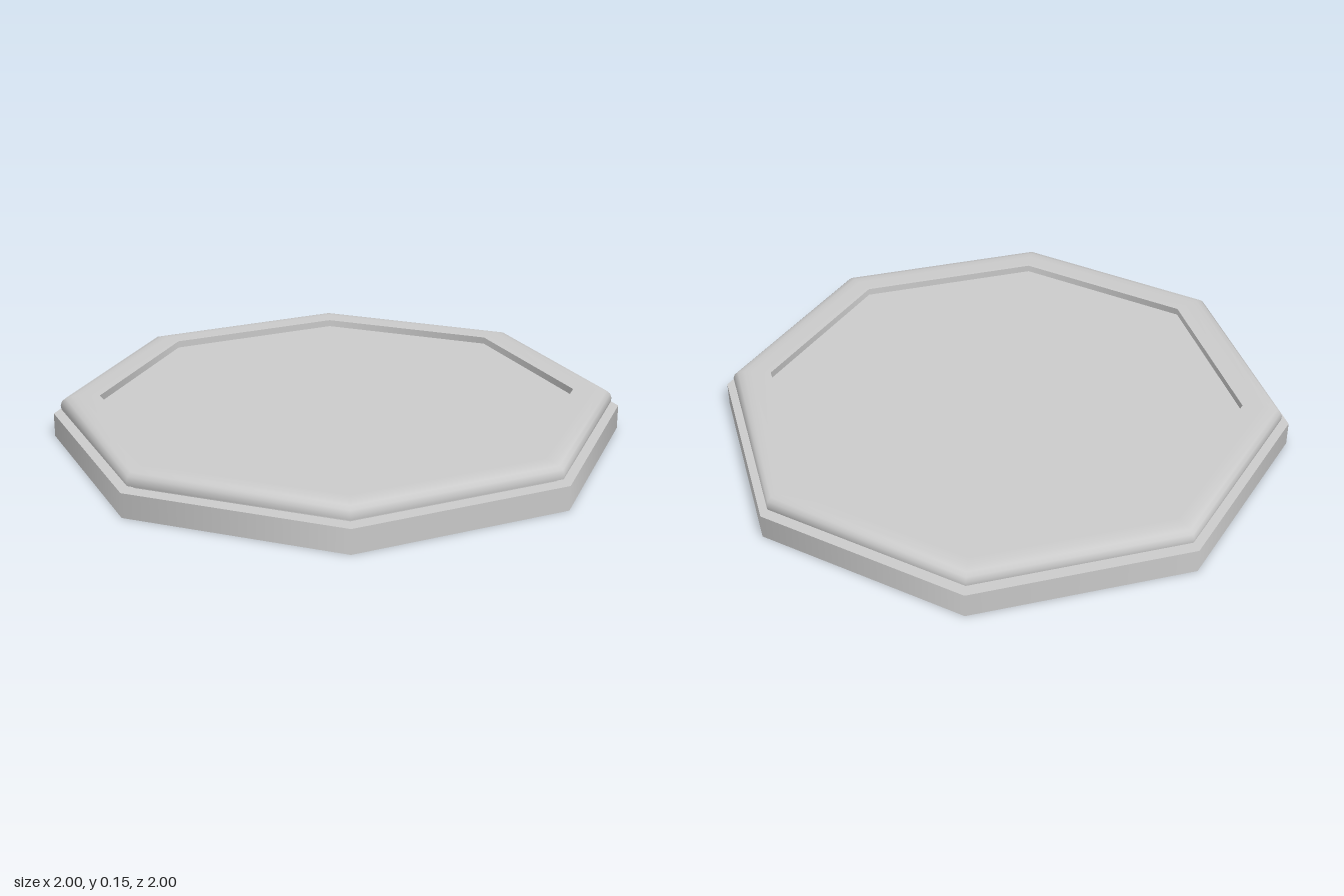
import * as THREE from 'three';

const SIDES = 8;

export function createModel() {
  const group = new THREE.Group();
  const material = new THREE.MeshStandardMaterial({ color: 0xcccccc });

  const add = (name, geometry, y = 0, parent = group) => {
    const mesh = new THREE.Mesh(geometry, material);
    mesh.name = name;
    mesh.position.y = y;
    parent.add(mesh);
  };
  // Octagonal sweep of an [r, y] profile; corners lie on the x and z axes
  const sweep = (...points) =>
    new THREE.LatheGeometry(points.map(([r, y]) => new THREE.Vector2(r, y)), SIDES);

  // Solid octagonal base slab
  add('base', new THREE.CylinderGeometry(1, 1, 0.085, SIDES), 0.0425);

  // Narrow recessed groove between base and rim
  add('neck', sweep([0.945, 0.085], [0.945, 0.1]));

  // Raised rim: each section is swept on its own to keep its edges sharp
  const rim = new THREE.Group();
  rim.name = 'rim';
  group.add(rim);
  add('rimUnderside', sweep([0.945, 0.1], [0.972, 0.1]).scale(1, 1, 1), 0, rim);
  rim.children[0].geometry = sweep([0.94, 0.1], [0.972, 0.1]);
  add('rimRoundedEdge', sweep(
    [0.972, 0.1], [0.974, 0.115], [0.968, 0.131], [0.955, 0.142],
    [0.932, 0.148], [0.9, 0.15], [0.835, 0.15]), 0, rim);
  add('rimInnerWall', sweep([0.835, 0.15], [0.835, 0.125]), 0, rim);

  // Recessed flat top panel
  const panel = new THREE.CircleGeometry(0.835, SIDES).rotateX(-Math.PI / 2);
  add('topPanel', panel, 0.125);

  return group;
}
